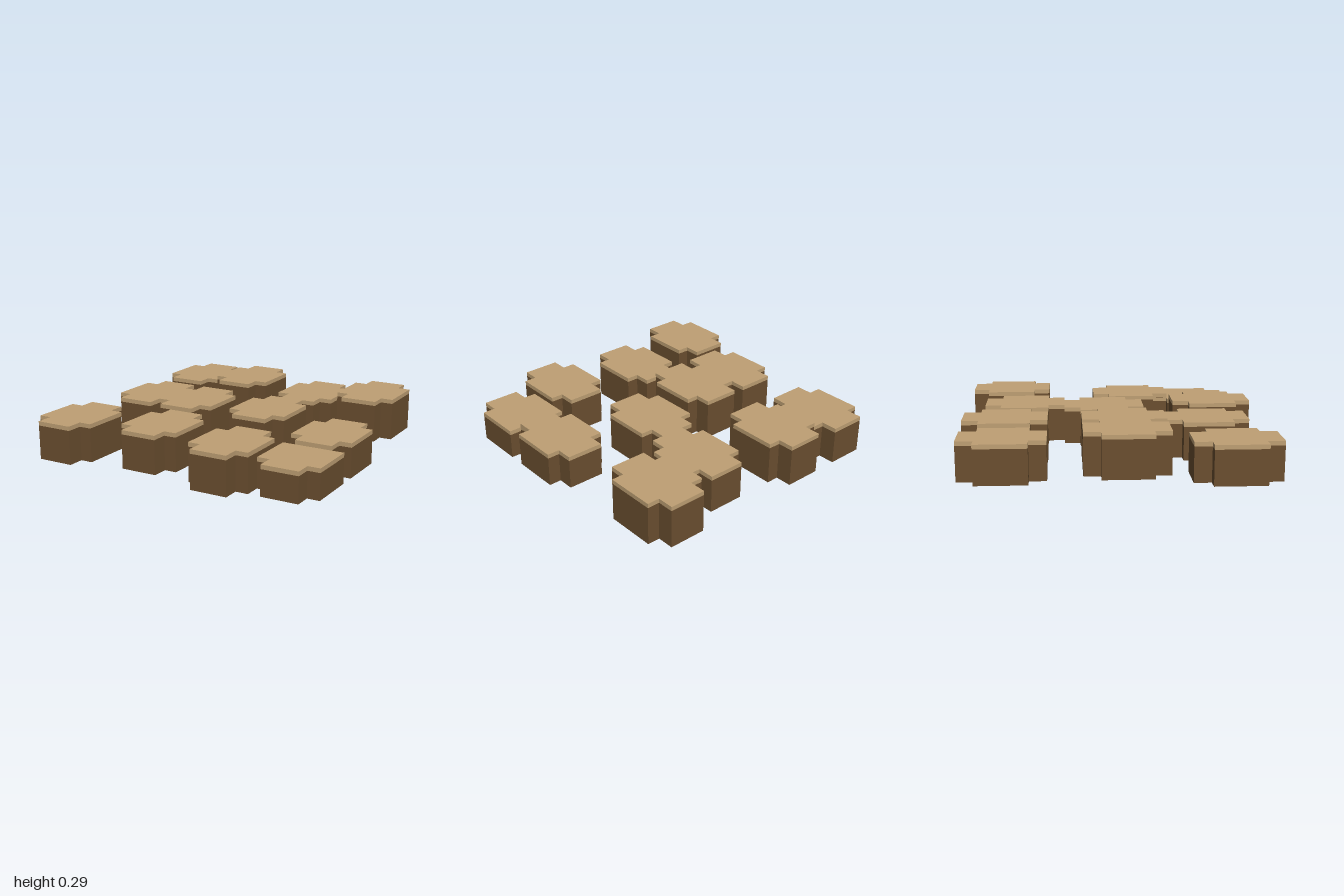
import * as THREE from 'three';

const CX = 1 / 12, CZ = 1 / 9; // footprint cell size
const STEP = 0.02857; // cap thickness and height step

// Stepped cross footprint, five cells by five with the corners cut away
function footprint() {
  const quarter = [[2.5, 1.5], [1.5, 1.5], [1.5, 2.5]];
  const points = [];
  for (const [sx, sy] of [[1, 1], [-1, 1], [-1, -1], [1, -1]]) {
    const corner = quarter.map(([x, y]) => new THREE.Vector2(sx * x * CX, sy * y * CZ));
    points.push(...(sx * sy > 0 ? corner : corner.reverse()));
  }
  return new THREE.Shape(points);
}

// Vertical prism of the footprint from y0 to y1
function prism(y0, y1) {
  const geometry = new THREE.ExtrudeGeometry(footprint(), { depth: y1 - y0, bevelEnabled: false });
  return geometry.rotateX(-Math.PI / 2).translate(0, y0, 0);
}

export function createModel() {
  const group = new THREE.Group();
  group.name = 'steppingBlocks';
  const top = new THREE.MeshStandardMaterial({ color: 0xbfa074 });
  top.name = 'light tan';
  const side = new THREE.MeshStandardMaterial({ color: 0x6b4f30 });
  side.name = 'dark brown';

  // Block centres x, z and top height in steps
  const blocks = [
    [-0.708, -0.722, 9], [-0.292, -0.722, 10], [0.292, -0.611, 9], [0.708, -0.722, 10],
    [-0.625, 0.056, 10], [-0.292, 0.056, 10], [0.208, -0.056, 9], [0.792, 0.167, 8],
    [-0.792, 0.722, 9], [-0.208, 0.611, 9], [0.375, 0.722, 9], [0.792, 0.611, 7],
  ];
  blocks.forEach(([x, z, level], i) => {
    const block = new THREE.Group();
    block.name = `block${i + 1}`;
    const body = new THREE.Mesh(prism(0, (level - 1) * STEP), side);
    body.name = 'body';
    const cap = new THREE.Mesh(prism((level - 1) * STEP, level * STEP), top);
    cap.name = 'cap';
    block.add(body, cap);
    block.position.set(x, 0, z);
    group.add(block);
  });
  return group;
}
